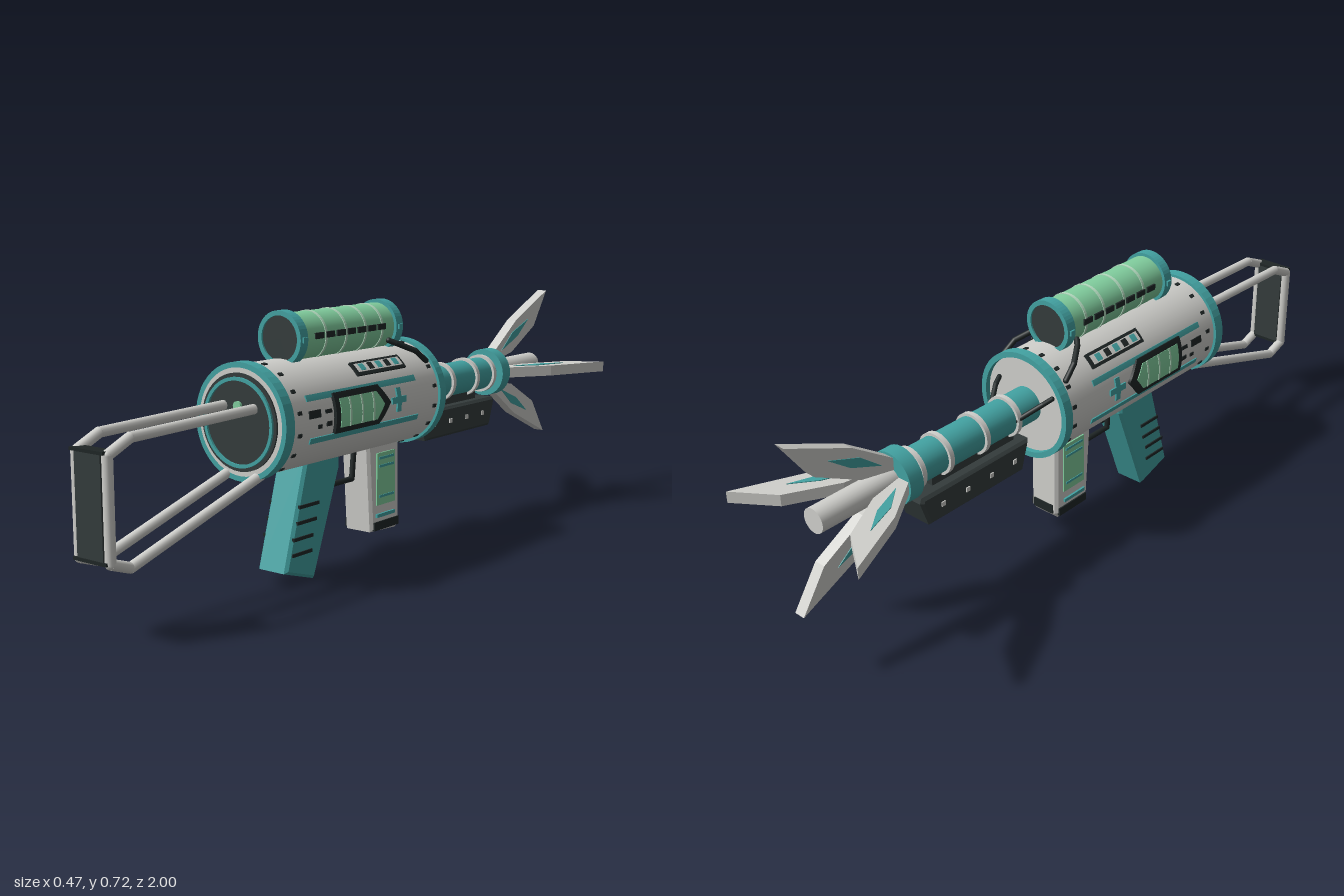
import * as THREE from 'three';

const AXIS = 0.455; // height of the main cylinder's axis
const R = 0.145; // body radius

export function createModel() {
  const model = new THREE.Group();
  model.name = 'blaster';
  const material = (name, color) => {
    const m = new THREE.MeshStandardMaterial({ color });
    m.name = name;
    return m;
  };
  const light = material('light grey', 0xd0d0cc);
  const teal = material('teal', 0x43a3a3);
  const green = material('glow green', 0x82cf9f);
  const pale = material('pale green', 0xb4dcc0);
  const dark = material('dark grey', 0x343c3c);
  const black = material('black', 0x1f2626);

  const add = (name, geometry, mat, x = 0, y = 0, z = 0) => {
    const mesh = new THREE.Mesh(geometry, mat);
    mesh.name = name;
    mesh.position.set(x, y, z);
    model.add(mesh);
    return mesh;
  };
  const box = (name, mat, w, h, d, x, y, z) => add(name, new THREE.BoxGeometry(w, h, d), mat, x, y, z);
  // solid cylinder along z
  const drum = (name, mat, r, z0, z1, y = AXIS, sides = 48) =>
    add(name, new THREE.CylinderGeometry(r, r, Math.abs(z1 - z0), sides).rotateX(Math.PI / 2), mat, 0, y, (z0 + z1) / 2);
  // ring with a square section, along z
  const ring = (name, mat, r0, r1, z0, z1, y = AXIS) => {
    const s = new THREE.Shape().absarc(0, 0, r1, 0, Math.PI * 2);
    s.holes.push(new THREE.Path().absarc(0, 0, r0, 0, Math.PI * 2, true));
    return add(name, new THREE.ExtrudeGeometry(s, { depth: z1 - z0, bevelEnabled: false, curveSegments: 24 }), mat, 0, y, z0);
  };
  // side outline given as [z, y], extruded across x
  const slab = (name, mat, pts, width, bevel = 0, x = 0) => {
    const s = new THREE.Shape(pts.map(([z, y]) => new THREE.Vector2(-z, y)));
    const g = new THREE.ExtrudeGeometry(s, {
      depth: width - 2 * bevel, bevelEnabled: bevel > 0, bevelSize: bevel,
      bevelThickness: bevel, bevelOffset: -bevel, bevelSegments: 1,
    });
    g.translate(0, 0, -(width - 2 * bevel) / 2).rotateY(Math.PI / 2);
    return add(name, g, mat, x, 0, 0);
  };
  // plate bent around the body, between two angles; point chamfers its rear end
  const patch = (name, mat, a0, a1, z0, z1, lift, point = 0) => {
    const g = new THREE.BoxGeometry(1, 1, 1, 1, 10, 1);
    const p = g.attributes.position;
    for (let i = 0; i < p.count; i++) {
      const a = a0 + (a1 - a0) * (p.getY(i) + 0.5);
      const r = p.getX(i) > 0 ? R + lift : R - 0.006;
      const z = p.getZ(i) > 0 ? z1 : z0 + point * 2 * Math.abs(p.getY(i));
      p.setXYZ(i, Math.cos(a) * r, Math.sin(a) * r, z);
    }
    g.computeVertexNormals();
    return add(name, g, mat, 0, AXIS, 0);
  };
  const angle = (y) => Math.asin((y - AXIS) / R);
  // the same plate on both flanks
  const flank = (name, mat, a0, a1, z0, z1, lift, point) => {
    patch(name, mat, a0, a1, z0, z1, lift, point);
    const other = patch(name, mat, Math.PI - a1, Math.PI - a0, z0, z1, lift, point);
    return other;
  };
  // round bar along straight runs, with ball joints
  const bar = (name, mat, pts, r) => {
    const v = pts.map((p) => new THREE.Vector3(...p));
    v.forEach((a, i) => {
      add(name + 'Joint', new THREE.SphereGeometry(r, 12, 8), mat, a.x, a.y, a.z);
      if (i === v.length - 1) return;
      const d = v[i + 1].clone().sub(a);
      const m = add(name, new THREE.CylinderGeometry(r, r, d.length(), 12), mat);
      m.position.copy(a).addScaledVector(d, 0.5);
      m.quaternion.setFromUnitVectors(new THREE.Vector3(0, 1, 0), d.normalize());
    });
  };

  // Body and its end rings
  drum('body', light, R, 0.47, -0.195);
  ring('frontRim', teal, 0.139, 0.153, 0.455, 0.488);
  ring('rearRim', teal, 0.137, 0.153, -0.21, -0.182);
  drum('frontLightDisc', light, 0.139, 0.46, 0.488);
  drum('frontDarkDisc', dark, 0.126, 0.47, 0.493);
  ring('frontTealRing', teal, 0.107, 0.116, 0.48, 0.499);
  drum('frontLamp', green, 0.013, 0.49, 0.5, 0.497, 16);

  // Rivets around both ends
  for (let i = 0; i < 16; i++) {
    const a = ((i + 0.5) / 16) * Math.PI * 2;
    for (const z of [0.425, -0.165]) patch('rivet', black, a - 0.035, a + 0.035, z - 0.007, z + 0.007, 0.003);
  }

  // Flank stripes, display, cross and small marks
  flank('upperStripe', teal, angle(0.507), angle(0.522), -0.08, 0.39, 0.003);
  flank('lowerStripe', teal, angle(0.398), angle(0.413), -0.09, 0.38, 0.003);
  flank('displayFrame', black, angle(0.415), angle(0.515), 0.055, 0.29, 0.009, 0.045);
  flank('displayScreen', green, angle(0.429), angle(0.5), 0.085, 0.272, 0.011, 0.03);
  for (const z of [0.13, 0.18, 0.23]) flank('displayLine', pale, angle(0.429), angle(0.5), z, z + 0.006, 0.0125);
  flank('crossBar', teal, angle(0.457), angle(0.474), -0.022, 0.042, 0.005);
  flank('crossPost', teal, angle(0.434), angle(0.498), 0.001, 0.019, 0.005);
  flank('mark', black, angle(0.464), angle(0.484), 0.345, 0.39, 0.003);
  flank('mark', black, angle(0.437), angle(0.449), 0.30, 0.32, 0.003);
  flank('mark', black, angle(0.435), angle(0.445), 0.34, 0.355, 0.003);
  flank('mark', black, angle(0.47), angle(0.48), 0.30, 0.325, 0.003);

  // Slotted shoulder plates
  flank('shoulderPlate', black, 0.65, 0.95, -0.06, 0.155, 0.006);
  flank('shoulderInset', light, 0.71, 0.89, -0.05, 0.145, 0.008);
  for (let i = 0; i < 5; i++) flank('shoulderSlot', i % 2 ? black : teal, 0.73, 0.87, -0.035 + i * 0.037, -0.015 + i * 0.037, 0.0095);

  // Scope
  const SY = 0.652;
  drum('scopeTube', green, 0.064, 0.32, -0.095, SY);
  for (const [z0, z1] of [[0.305, 0.335], [-0.11, -0.08]]) ring('scopeCap', teal, 0.06, 0.073, z0, z1, SY);
  drum('scopeLens', dark, 0.0605, -0.105, 0.33, SY);
  for (const z of [0.22, 0.135, 0.05, -0.025]) ring('scopeBand', pale, 0.06, 0.066, z - 0.004, z + 0.004, SY);
  for (const s of [-1, 1]) {
    for (let i = 0; i < 7; i++) box('scopeSlot', black, 0.01, 0.016, 0.034, s * 0.063, 0.657, 0.25 - i * 0.045);
    for (const z of [0.32, -0.095]) box('scopeCapStud', teal, 0.012, 0.014, 0.016, s * 0.072, SY, z);
    // Cables from the scope and into the barrel
    bar('scopeCable', black, [[s * 0.06, 0.615, -0.06], [s * 0.075, 0.607, -0.075], [s * 0.106, 0.583, -0.125], [s * 0.113, 0.552, -0.165]], 0.008);
    bar('barrelCable', black, [[s * 0.095, 0.505, -0.2], [s * 0.085, 0.495, -0.225], [s * 0.048, 0.46, -0.285]], 0.007);
  }
  box('scopeMount', teal, 0.06, 0.03, 0.36, 0, 0.592, 0.11);

  // Barrel, bands and muzzle
  drum('barrel', teal, 0.05, -0.19, -0.66, AXIS, 32);
  for (const z of [-0.282, -0.4, -0.53, -0.625]) drum('barrelBand', light, 0.058, z - 0.007, z + 0.007, AXIS, 32);
  drum('muzzleFlange', teal, 0.073, -0.645, -0.688, AXIS, 32);
  drum('muzzleRod', light, 0.034, -0.68, -0.93, AXIS, 24);

  // Four fins, each with a teal inlay
  const finPart = (name, mat, pts, thick) => {
    const s = new THREE.Shape(pts.map(([r, z]) => new THREE.Vector2(r, -z)));
    const g = new THREE.ExtrudeGeometry(s, { depth: thick, bevelEnabled: false });
    return new THREE.Mesh(g.translate(0, 0, -thick / 2).rotateX(-Math.PI / 2), mat);
  };
  for (let i = 0; i < 4; i++) {
    const fin = new THREE.Group();
    fin.name = 'fin';
    fin.add(finPart('finBlade', light, [[0.03, -0.68], [0.06, -0.68], [0.15, -0.81], [0.235, -1], [0.125, -0.925], [0.052, -0.79]], 0.032));
    fin.add(finPart('finInlay', teal, [[0.062, -0.725], [0.115, -0.79], [0.15, -0.885], [0.1, -0.82]], 0.036));
    fin.children[0].name = 'finBlade';
    fin.children[1].name = 'finInlay';
    fin.position.y = AXIS;
    fin.rotation.z = (i * Math.PI) / 2;
    model.add(fin);
  }

  // Handguard under the barrel
  slab('handguard', dark, [[-0.24, 0.385], [-0.265, 0.297], [-0.61, 0.297], [-0.635, 0.37], [-0.63, 0.385]], 0.1, 0.008);
  box('handguardMount', dark, 0.04, 0.06, 0.3, 0, 0.4, -0.42);
  for (const s of [-1, 1]) for (let i = 0; i < 4; i++) {
    box('handguardStud', light, 0.006, 0.013, 0.013, s * 0.05, 0.342, -0.3 - i * 0.088);
  }

  // Grip with side grooves
  slab('grip', teal, [[0.285, 0.345], [0.145, 0.345], [0.145, 0.29], [0.255, 0.002], [0.375, 0.04]], 0.1, 0.008);
  [[0.305, 0.21], [0.315, 0.168], [0.33, 0.126], [0.335, 0.085]].forEach(([z, y]) => {
    for (const s of [-1, 1]) box('gripGroove', black, 0.008, 0.009, 0.08, s * 0.05, y, z - 0.025);
  });

  // Trigger and guard
  bar('triggerGuard', black, [[0, 0.32, 0.15], [0, 0.23, 0.145], [0, 0.23, 0.03], [0, 0.32, 0.02]], 0.008);
  slab('trigger', black, [[0.125, 0.32], [0.1, 0.32], [0.11, 0.262], [0.122, 0.262]], 0.02);

  // Magazine with lit side panels
  slab('magazine', light, [[0.018, 0.34], [-0.13, 0.34], [-0.132, 0.085], [-0.12, 0.068], [0, 0.075]], 0.096, 0.008);
  for (const s of [-1, 1]) {
    box('magazinePanel', green, 0.008, 0.15, 0.085, s * 0.048, 0.225, -0.062);
    for (const y of [0.285, 0.262, 0.175]) box('magazineLine', teal, 0.008, 0.007, 0.07, s * 0.05, y, -0.062);
    box('magazineStripe', teal, 0.008, 0.01, 0.085, s * 0.05, 0.12, -0.06);
    box('magazineFoot', black, 0.008, 0.024, 0.115, s * 0.048, 0.09, -0.066);
  }
  box('magazineCatch', black, 0.07, 0.026, 0.01, 0, 0.098, -0.131);

  // Frame stock and butt plate
  for (const s of [-1, 1]) {
    const x = s * 0.051;
    bar('stockRail', light, [[x, 0.495, 0.47], [x, 0.486, 0.91], [x, 0.455, 0.98], [x, 0.205, 0.98], [x, 0.184, 0.92], [x, 0.322, 0.47]], 0.0135);
  }
  slab('buttPlate', dark, [[0.965, 0.205], [0.995, 0.205], [0.995, 0.465], [0.965, 0.465]], 0.086);
  for (const y of [0.207, 0.462]) box('buttPlateEdge', black, 0.11, 0.008, 0.034, 0, y, 0.981);

  return model;
}
